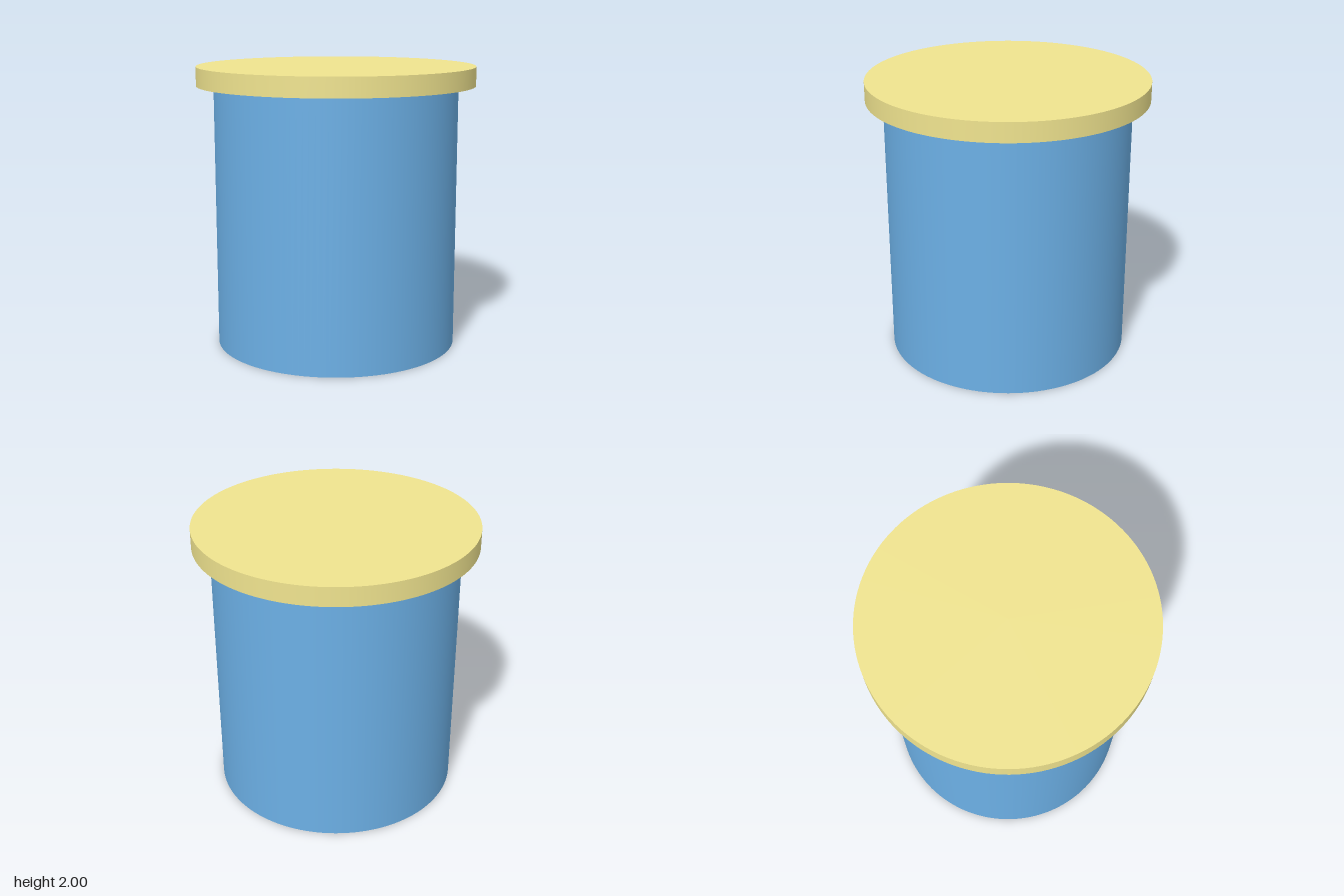
import * as THREE from 'three';

// Upright round part standing from y0 to y1
function disc(name, radius, y0, y1, color) {
  const mesh = new THREE.Mesh(
    new THREE.CylinderGeometry(radius, radius, y1 - y0, 128),
    new THREE.MeshStandardMaterial({ color })
  );
  mesh.name = name;
  mesh.position.y = (y0 + y1) / 2;
  return mesh;
}

export function createModel() {
  const model = new THREE.Group();
  model.name = 'liddedCanister';

  // Canister body and the overhanging flat lid resting on it
  model.add(disc('body', 0.863, 0, 1.865, 0x6cb0e6));
  model.add(disc('lid', 0.984, 1.865, 2, 0xf0e48f));

  return model;
}
